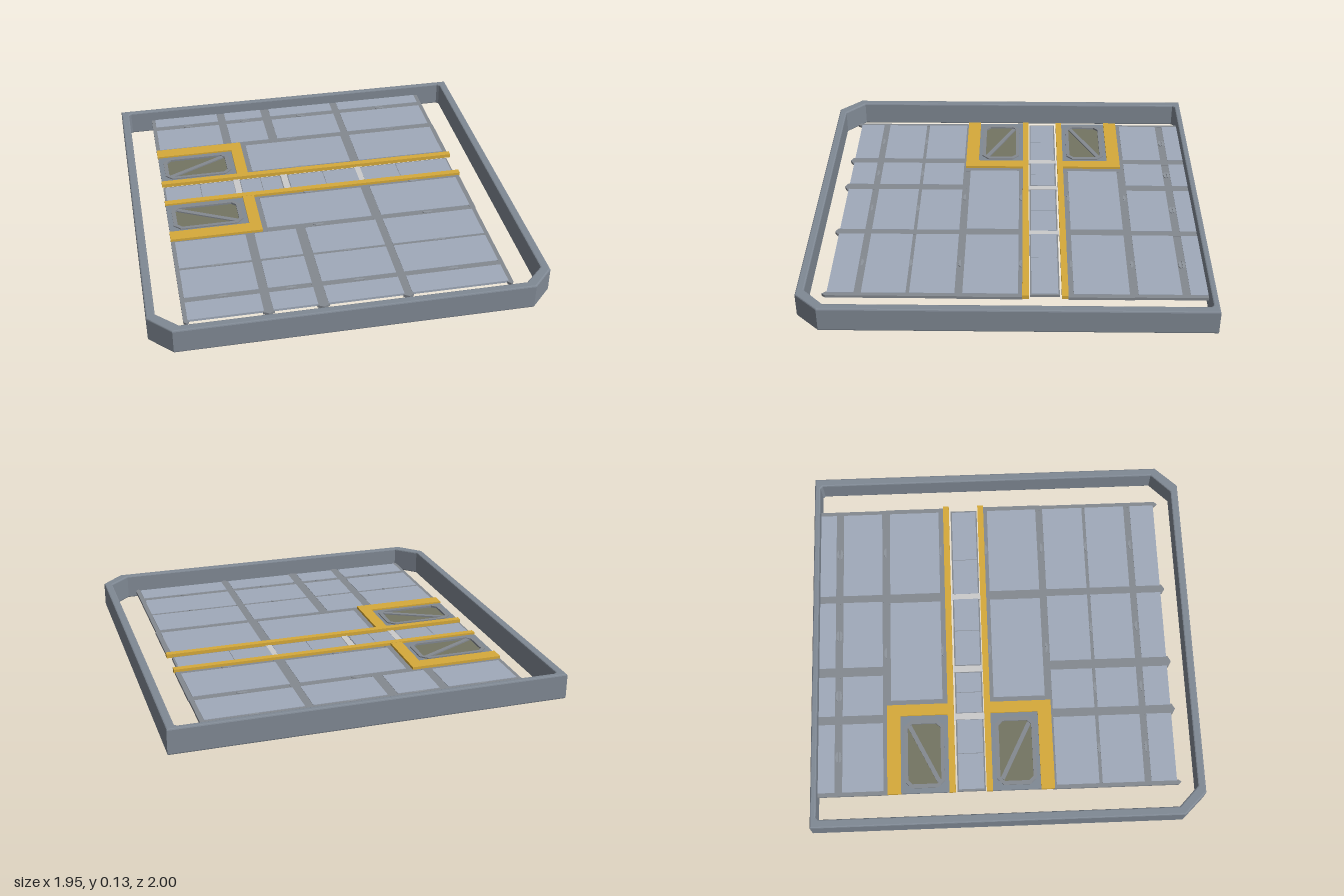
import * as THREE from 'three';

const mat = (color) => new THREE.MeshStandardMaterial({ color });

export function createModel() {
  const model = new THREE.Group();
  const M = {
    frame: mat(0x808994), panel: mat(0xa0aaba), rib: mat(0x848990), latch: mat(0x8f959d),
    trim: mat(0xd6aa3a), glass: mat(0x747562), pale: mat(0xbcbec0),
  };

  // Box given by its x, z and y ranges
  function slab(name, m, x0, x1, z0, z1, y0, y1, parent = model) {
    const mesh = new THREE.Mesh(new THREE.BoxGeometry(x1 - x0, y1 - y0, z1 - z0), m);
    mesh.position.set((x0 + x1) / 2, (y0 + y1) / 2, (z0 + z1) / 2);
    mesh.name = name;
    parent.add(mesh);
    return mesh;
  }

  // Outline in (x, z), extruded upwards from y0 to y1; the hole winds the other way
  function plate(name, m, outline, y0, y1, hole, bevel = 0, parent = model) {
    const pts = (list) => list.map(([x, z]) => new THREE.Vector2(x, -z));
    const shape = new THREE.Shape(pts(outline));
    if (hole) shape.holes.push(new THREE.Path(pts(hole).reverse()));
    const geo = new THREE.ExtrudeGeometry(shape, {
      depth: y1 - y0 - 2 * bevel, bevelEnabled: bevel > 0,
      bevelSize: bevel, bevelThickness: bevel, bevelOffset: -bevel, bevelSegments: 2,
    });
    geo.rotateX(-Math.PI / 2).translate(0, y0 + bevel, 0);
    const mesh = new THREE.Mesh(geo, m);
    mesh.name = name;
    parent.add(mesh);
    return mesh;
  }

  // Rectangle with all four corners cut
  const cutRect = (x0, x1, z0, z1, c) => [
    [x0 + c, z0], [x1 - c, z0], [x1, z0 + c], [x1, z1 - c],
    [x1 - c, z1], [x0 + c, z1], [x0, z1 - c], [x0, z0 + c],
  ];

  // Outer rim: square at the back, chamfered at the front
  plate('outerFrame', M.frame,
    [[-0.975, -1], [0.975, -1], [0.975, 0.885], [0.865, 1], [-0.865, 1], [-0.975, 0.885]], 0, 0.13,
    [[-0.92, -0.97], [0.92, -0.97], [0.932, -0.958], [0.932, 0.86], [0.83, 0.96],
      [-0.83, 0.96], [-0.932, 0.86], [-0.932, -0.958]], 0.007);

  // Lengthwise ribs, the front ones with pointed ends
  const ribs = [[-0.805, -0.78], [-0.43, -0.375], [-0.17, -0.11], [0.25, 0.3], [0.77, 0.797]];
  for (const [a, b] of ribs) {
    slab('backRib', M.rib, a, b, -0.97, -0.61, 0.056, 0.07);
    plate('frontRib', M.rib,
      [[a, 0.23], [b, 0.23], [b, 0.872], [(a + b) / 2, 0.888], [a, 0.872]], 0.056, 0.07);
  }

  // Cross ribs
  for (const [z0, z1] of [[-0.89, -0.84], [-0.64, -0.605], [0.2, 0.255], [0.465, 0.488], [0.695, 0.74]])
    slab('crossRib', M.rib, -0.8, 0.795, z0, z1, 0.057, 0.0695);

  // Deck panels in four columns, back and front
  const columns = [[-0.785, -0.425], [-0.38, -0.165], [-0.115, 0.255], [0.295, 0.775]];
  const rows = [[-0.97, -0.885], [-0.845, -0.635], [0.25, 0.468], [0.485, 0.7], [0.735, 0.865]];
  for (const [z0, z1] of rows)
    for (const [x0, x1] of columns)
      slab('deckPanel', M.panel, x0, x1, z0, z1, 0.06, 0.072);

  // Wide panels beside the hatches with their surrounding ribs
  for (const [z0, z1] of [[-0.615, -0.298], [-0.078, 0.238]]) {
    for (const [a, b] of [[-0.335, -0.3], [0.24, 0.3], [0.77, 0.8]])
      slab('wideRib', M.rib, a, b, z0, z1, 0.056, 0.07);
    slab('wideEdge', M.rib, -0.33, 0.8, z0, z0 + 0.03, 0.057, 0.0695);
    slab('wideEdge', M.rib, -0.33, 0.8, z1 - 0.03, z1, 0.057, 0.0695);
    for (const [x0, x1] of [[-0.305, 0.245], [0.295, 0.775]])
      slab('widePanel', M.panel, x0, x1, z0 + 0.022, z1 - 0.026, 0.06, 0.072);
  }

  // Small half-round latches on the cross ribs
  function latch(x, z, dir) {
    const pts = [];
    for (let i = 0; i <= 8; i++) {
      const t = (i / 8) * Math.PI;
      pts.push([x + 0.028 * Math.cos(t), z + dir * 0.014 * Math.sin(t)]);
    }
    plate('latch', M.latch, pts, 0.064, 0.074);
  }
  for (const x of [-0.6, -0.27, 0.065, 0.54]) {
    latch(x, -0.868, -1);
    latch(x, -0.862, 1);
    latch(x, 0.482, -1);
    latch(x, 0.725, -1);
  }
  for (const x of [-0.04, 0.54])
    for (const [z, d] of [[-0.613, -1], [-0.312, -1], [-0.073, 1], [0.228, 1]]) latch(x, z, d);

  // Central channel of small panels joined by pale cross bars
  const cells = [[-0.79, -0.604], [-0.601, -0.422], [-0.383, -0.274], [-0.271, -0.165],
    [-0.12, 0.071], [0.074, 0.255], [0.285, 0.483], [0.486, 0.772]];
  for (const [x0, x1] of cells)
    slab('channelPanel', M.panel, x0, x1, -0.25, -0.12, 0.06, 0.07);
  for (const [x0, x1] of [[-0.8, -0.415], [-0.39, -0.16], [-0.125, 0.26], [0.28, 0.78]])
    slab('channelTray', M.rib, x0, x1, -0.257, -0.113, 0.056, 0.0685);
  for (const x of [-0.403, -0.142, 0.27])
    slab('channelBar', M.pale, x - 0.017, x + 0.017, -0.263, -0.107, 0.057, 0.069);

  // Hatch bays with yellow trim; side = -1 towards the back, 1 towards the front
  for (const side of [-1, 1]) {
    const bay = new THREE.Group();
    bay.name = side < 0 ? 'backHatch' : 'frontHatch';
    const c = -0.187;
    const span = (a, b) => (side > 0 ? [c + a, c + b] : [c - b, c - a]);
    // Yellow strip and L-shaped border
    slab('yellowStrip', M.trim, -0.805, 0.805, ...span(0.079, 0.111), 0.064, 0.084, bay);
    slab('yellowUpright', M.trim, -0.393, -0.333, ...span(0.11, 0.427), 0.0645, 0.083, bay);
    slab('yellowBorder', M.trim, -0.805, -0.393, ...span(0.357, 0.427), 0.0645, 0.083, bay);
    // Hatch surround, window and octagonal rim standing out on both faces
    const [z0, z1] = span(0.11, 0.358);
    const [w0, w1] = span(0.133, 0.338);
    const inner = cutRect(-0.757, -0.438, w0 + 0.018, w1 - 0.018, 0.022);
    plate('hatchSurround', M.frame, [[-0.803, z0], [-0.393, z0], [-0.393, z1], [-0.803, z1]],
      0.06, 0.074, inner, 0, bay);
    plate('hatchRim', M.rib, cutRect(-0.778, -0.417, w0, w1, 0.035), 0.056, 0.08, inner, 0, bay);
    plate('hatchWindow', M.glass, inner, 0.063, 0.07, null, 0, bay);
    // Diagonal brace across the window
    const brace = slab('hatchBrace', M.rib, -0.165, 0.165, -0.011, 0.011, 0.058, 0.077, bay);
    brace.position.x = -0.597;
    brace.position.z = (w0 + w1) / 2;
    brace.rotation.y = -side * Math.atan2(0.15, 0.3);
    model.add(bay);
  }

  return model;
}
